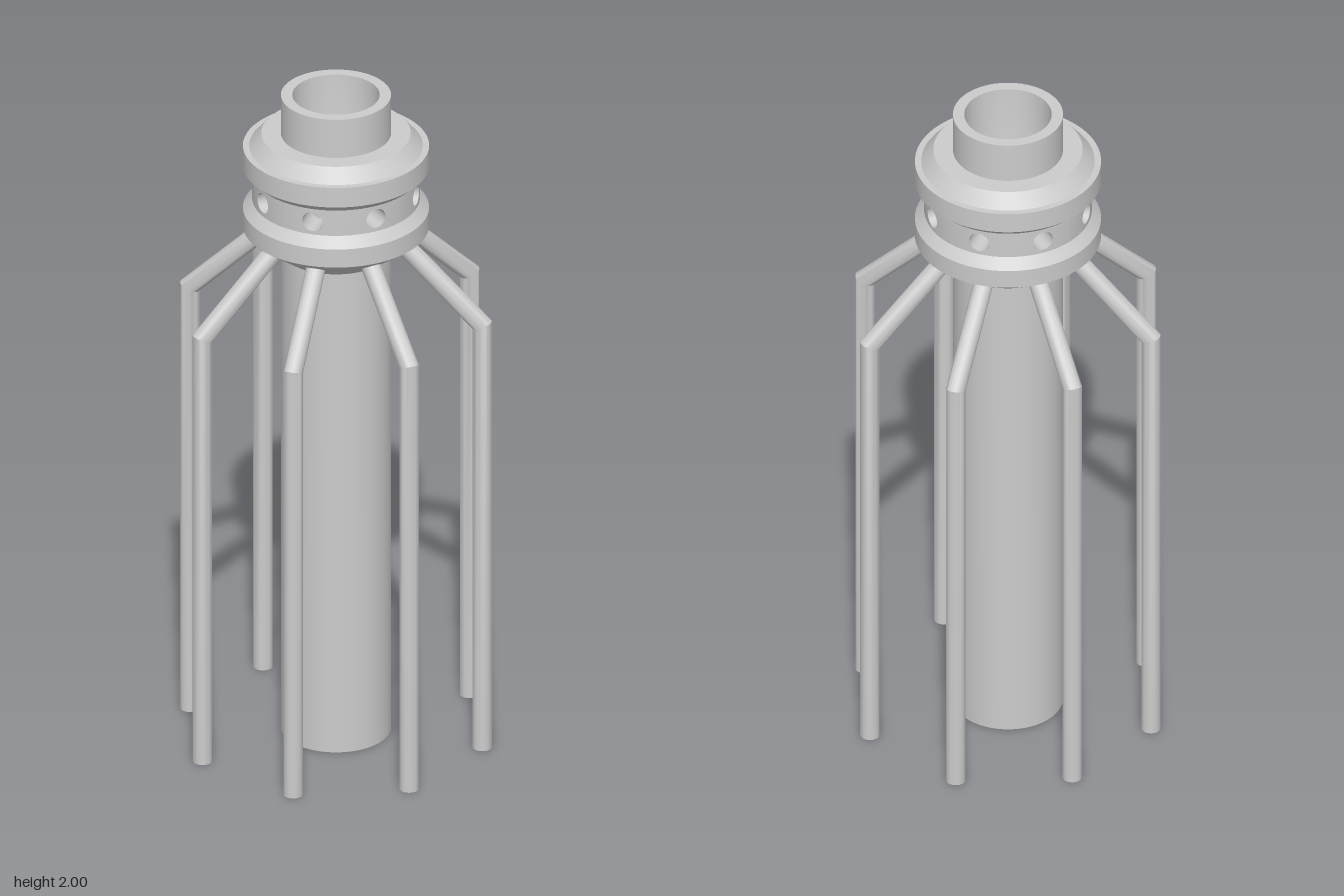
import * as THREE from 'three';
import { toCreasedNormals } from 'three/addons/utils/BufferGeometryUtils.js';

const grey = new THREE.MeshStandardMaterial({ color: 0xcccccc });
const inside = new THREE.MeshStandardMaterial({ color: 0xcccccc, side: THREE.BackSide });
const thin = new THREE.MeshStandardMaterial({ color: 0xcccccc, side: THREE.DoubleSide });

const COUNT = 8;
const BAND = { radius: 0.236, bottom: 1.675, top: 1.755, hole: 0.03 };
const PIPE = { radius: 0.0275, bore: 0.014, distance: 0.428, elbow: 1.335, end: 0.19, tilt: 0.806 };

function part(name, geometry, material = grey) {
  const mesh = new THREE.Mesh(geometry, material);
  mesh.name = name;
  return mesh;
}

// Turned part: profile runs up the outside and down the inside
function turned(points) {
  const profile = points.map(([r, y]) => new THREE.Vector2(r, y));
  return toCreasedNormals(new THREE.LatheGeometry(profile, 64), 0.4);
}

// One sector of the grooved band with a round hole in its middle
function bandSector() {
  const g = new THREE.PlaneGeometry(1, 1, 48, 4);
  const { position, uv } = g.attributes;
  const halfW = BAND.radius * Math.PI / COUNT;
  const halfH = (BAND.top - BAND.bottom) / 2;
  const midY = (BAND.top + BAND.bottom) / 2;
  for (let i = 0; i < position.count; i++) {
    const t = -uv.getX(i) * Math.PI * 2, v = uv.getY(i);
    const c = Math.cos(t), s = Math.sin(t), m = Math.max(Math.abs(c), Math.abs(s));
    const x = THREE.MathUtils.lerp(BAND.hole * c, halfW * c / m, v);
    const y = THREE.MathUtils.lerp(BAND.hole * s, halfH * s / m, v);
    const a = x / BAND.radius;
    position.setXYZ(i, BAND.radius * Math.sin(a), midY + y, BAND.radius * Math.cos(a));
  }
  g.computeVertexNormals();
  return g;
}

// Vertical pipe with a mitred elbow and an arm sloping inward, lying in the x-y plane
function bentPipe(radius) {
  const g = new THREE.CylinderGeometry(radius, radius, 1, 24, 2, true);
  const p = g.attributes.position;
  const s = Math.sin(PIPE.tilt), c = Math.cos(PIPE.tilt);
  const length = (PIPE.distance - PIPE.end) / s;
  for (let i = 0; i < p.count; i++) {
    const a = p.getX(i), h = p.getY(i);
    if (h < -0.25) p.setXY(i, PIPE.distance + a, 0);
    else if (h < 0.25) p.setXY(i, PIPE.distance + a, PIPE.elbow + a * (1 - c) / s);
    else p.setXY(i, PIPE.distance - length * s + a * c, PIPE.elbow + length * c + a * s);
  }
  return toCreasedNormals(g, 0.5);
}

export function createModel() {
  const model = new THREE.Group();
  model.name = 'burnerAssembly';

  // Central tube: counterbored base, narrow bore, funnel mouth
  model.add(part('centralTube', turned([
    [0.125, 0], [0.155, 0], [0.155, 2], [0.123, 2], [0.115, 1.8],
    [0.08, 1.62], [0.075, 1.62], [0.075, 0.035], [0.125, 0.035], [0.125, 0],
  ])));

  // Collar rings above and below the grooved band
  model.add(part('lowerCollarRing', turned([
    [0.153, 1.51], [0.262, 1.588], [0.262, 1.645], [BAND.radius, BAND.bottom],
  ])));
  model.add(part('upperCollarRing', turned([
    [BAND.radius, BAND.top], [0.262, 1.778], [0.262, 1.84],
    [0.244, 1.84], [0.21, 1.88], [0.153, 1.88],
  ])));

  // Grooved band with a ring of radial holes
  const band = new THREE.Group();
  band.name = 'perforatedBand';
  const sector = bandSector();
  const holeWall = new THREE.CylinderGeometry(BAND.hole, BAND.hole, 0.085, 48, 1, true);
  holeWall.rotateX(Math.PI / 2);
  holeWall.translate(0, (BAND.top + BAND.bottom) / 2, 0.1925);

  // Ring of bent pipes
  const pipes = new THREE.Group();
  pipes.name = 'pipes';
  const outer = bentPipe(PIPE.radius);
  const bore = bentPipe(PIPE.bore);
  const rim = new THREE.RingGeometry(PIPE.bore, PIPE.radius, 24);
  rim.rotateX(Math.PI / 2);
  rim.translate(PIPE.distance, 0, 0);

  for (let i = 0; i < COUNT; i++) {
    const angle = i * Math.PI * 2 / COUNT;
    const opening = new THREE.Group();
    opening.name = 'bandSector';
    opening.add(part('bandWall', sector, thin), part('holeWall', holeWall, inside));
    opening.rotation.y = angle;
    band.add(opening);

    const pipe = new THREE.Group();
    pipe.name = 'bentPipe';
    pipe.add(part('pipeWall', outer), part('pipeBore', bore, inside), part('pipeRim', rim, thin));
    pipe.rotation.y = angle;
    pipes.add(pipe);
  }
  model.add(band, pipes);
  return model;
}
